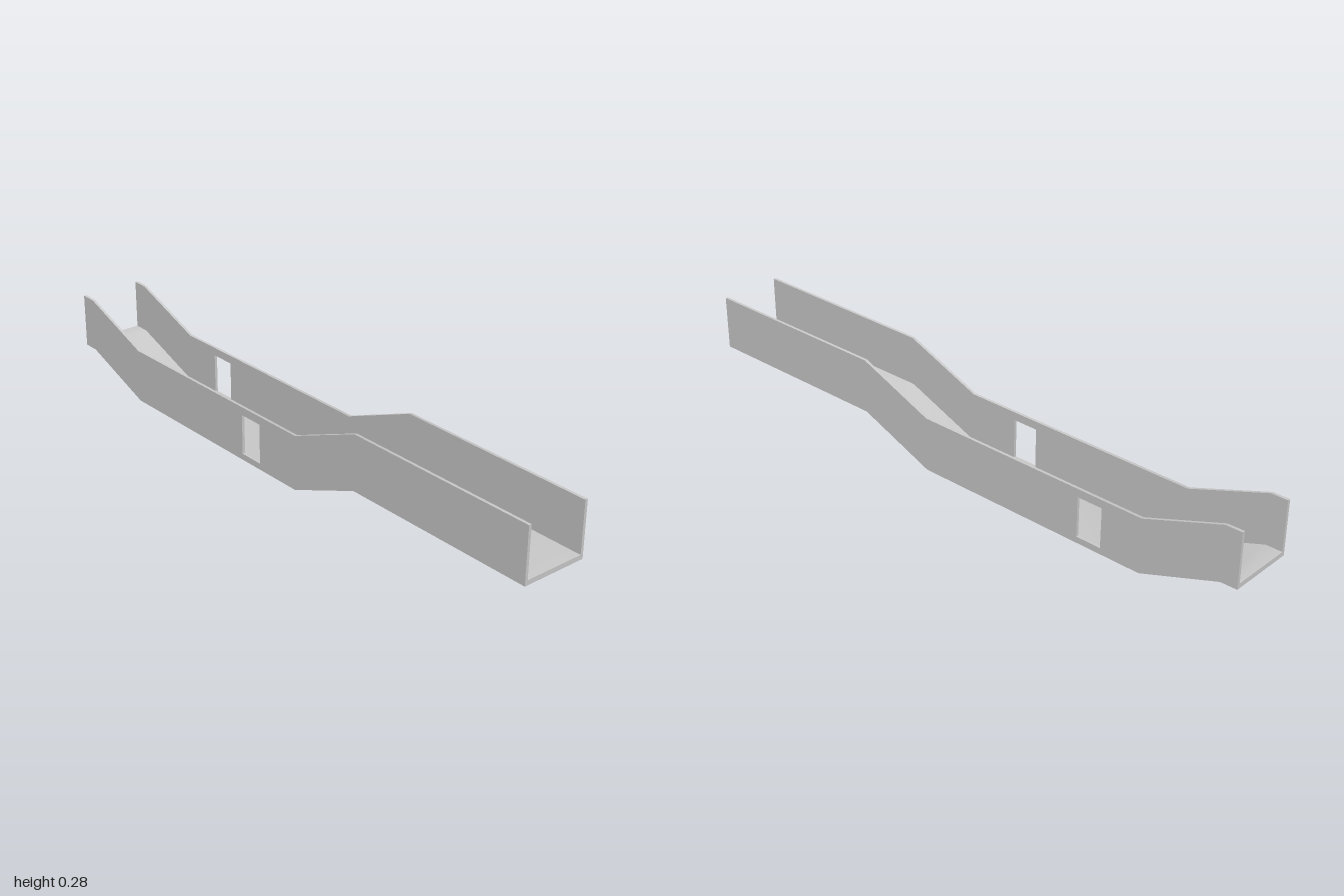
import * as THREE from 'three';
import { toCreasedNormals } from 'three/addons/utils/BufferGeometryUtils.js';

// Underside line of the channel, from the right end to the left end
const PATH = [[-1, 0.095], [-0.947, 0.094], [-0.69, 0], [0.1, 0], [0.355, 0.102], [1, 0.102]];
const HALF_WIDTH = 0.106, WALL = 0.009, FLOOR = 0.015, HEIGHT = 0.174;

// Band that follows the path between two heights above it
function band(low, high) {
  const lower = PATH.map(([x, y]) => new THREE.Vector2(x, y + low));
  const upper = PATH.map(([x, y]) => new THREE.Vector2(x, y + high)).reverse();
  return new THREE.Shape([...lower, ...upper]);
}

function part(name, shape, zStart, depth, material) {
  const extruded = new THREE.ExtrudeGeometry(shape, { depth, bevelEnabled: false });
  extruded.translate(0, 0, zStart);
  // Soft shading over the shallow bends, sharp at the corners
  const mesh = new THREE.Mesh(toCreasedNormals(extruded, 0.6), material);
  mesh.name = name;
  return mesh;
}

// Side wall with one rectangular window
function wallShape(windowX) {
  const shape = band(FLOOR, HEIGHT);
  const x0 = windowX - 0.042, x1 = windowX + 0.042, y0 = 0.02, y1 = 0.148;
  shape.holes.push(new THREE.Path([
    new THREE.Vector2(x0, y0), new THREE.Vector2(x0, y1),
    new THREE.Vector2(x1, y1), new THREE.Vector2(x1, y0),
  ]));
  return shape;
}

export function createModel() {
  const group = new THREE.Group();
  group.name = 'channel';
  const material = new THREE.MeshStandardMaterial({ color: 0xcccccc });
  group.add(
    part('floor', band(0, FLOOR), -HALF_WIDTH, HALF_WIDTH * 2, material),
    part('frontWall', wallShape(-0.106), HALF_WIDTH - WALL, WALL, material),
    part('backWall', wallShape(-0.515), -HALF_WIDTH, WALL, material),
  );
  return group;
}
